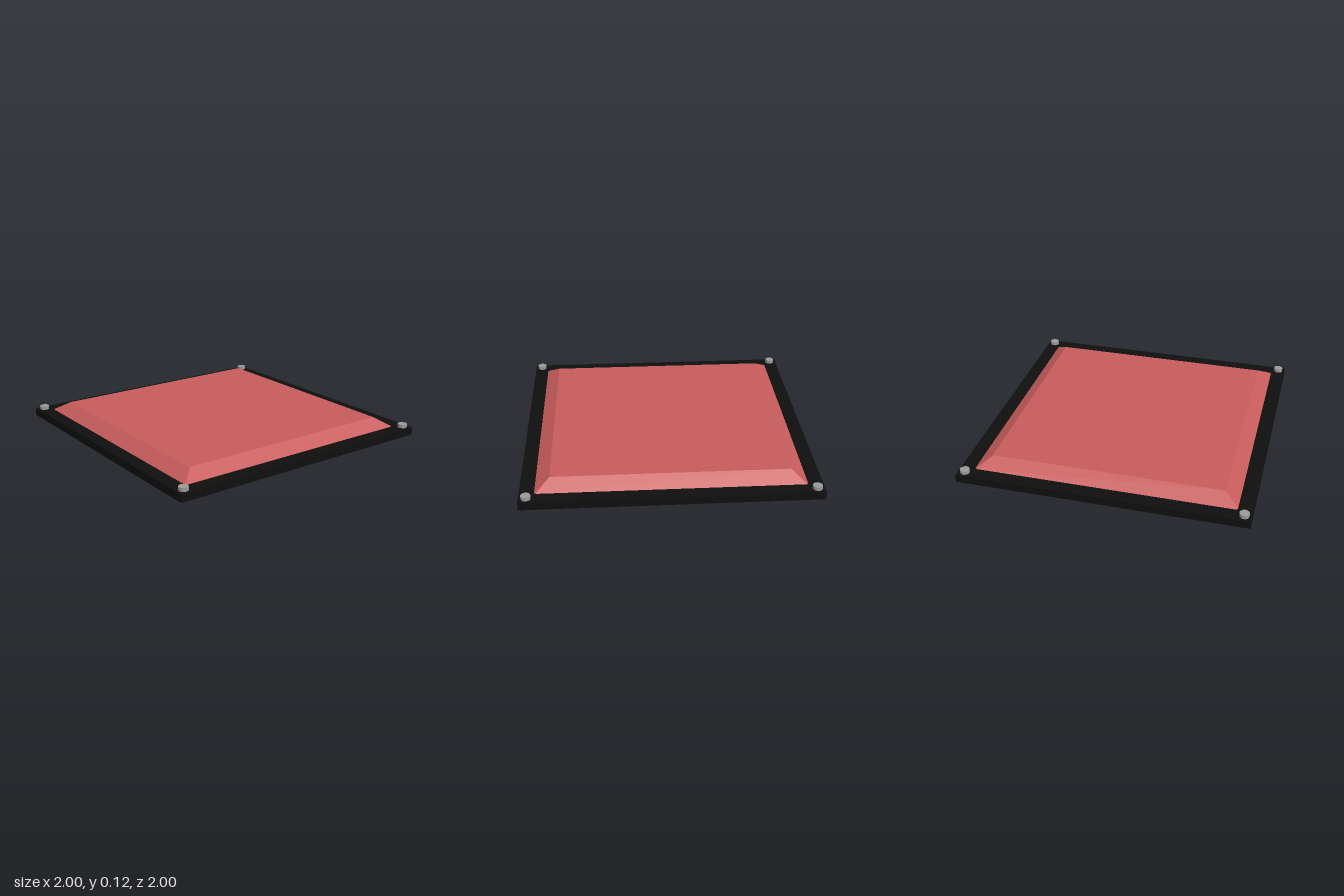
import * as THREE from 'three';

const frameBlack = new THREE.MeshStandardMaterial({ color: 0x0f0f0f });
frameBlack.name = 'frame black';
const panelRed = new THREE.MeshStandardMaterial({ color: 0xc85c5c });
panelRed.name = 'panel red';
const boltGrey = new THREE.MeshStandardMaterial({ color: 0x9a9a9a });
boltGrey.name = 'bolt grey';

const BASE_TOP = 0.055;
const PANEL_TOP = 0.118;

// Square ring with clipped corners, counter-clockwise seen from above
function ring(half, clip, y) {
  const points = [];
  for (let i = 0; i < 4; i++) {
    const turn = (i * Math.PI) / 2;
    for (const [x, z] of [[half, -half + clip], [half - clip, -half]]) {
      points.push(new THREE.Vector3(x, y, z).applyAxisAngle(new THREE.Vector3(0, 1, 0), turn));
    }
  }
  return points;
}

// Raised panel: sloping sides between two rings, closed above and below
function panelGeometry() {
  const low = ring(0.9, 0.012, BASE_TOP);
  const high = ring(0.802, 0.001, PANEL_TOP);
  const lowCentre = new THREE.Vector3(0, BASE_TOP, 0);
  const highCentre = new THREE.Vector3(0, PANEL_TOP, 0);
  const corners = [];
  for (let i = 0; i < low.length; i++) {
    const j = (i + 1) % low.length;
    corners.push(low[i], low[j], high[j], low[i], high[j], high[i]);
    corners.push(highCentre, high[i], high[j], lowCentre, low[j], low[i]);
  }
  const geometry = new THREE.BufferGeometry().setFromPoints(corners);
  geometry.computeVertexNormals();
  return geometry;
}

export function createModel() {
  const model = new THREE.Group();
  model.name = 'panelTile';

  function add(name, geometry, material, x, y, z) {
    const mesh = new THREE.Mesh(geometry, material);
    mesh.name = name;
    mesh.position.set(x, y, z);
    model.add(mesh);
  }

  // Flat backing plate
  add('basePlate', new THREE.BoxGeometry(2, BASE_TOP, 2), frameBlack, 0, BASE_TOP / 2, 0);

  // Bevelled panel
  add('raisedPanel', panelGeometry(), panelRed, 0, 0, 0);

  // One bolt in each corner, sunk slightly into the plate
  const boltShape = new THREE.CylinderGeometry(0.033, 0.033, 0.04, 16);
  for (const x of [-0.95, 0.95]) {
    for (const z of [-0.95, 0.95]) {
      add('cornerBolt', boltShape, boltGrey, x, 0.06, z);
    }
  }
  return model;
}
